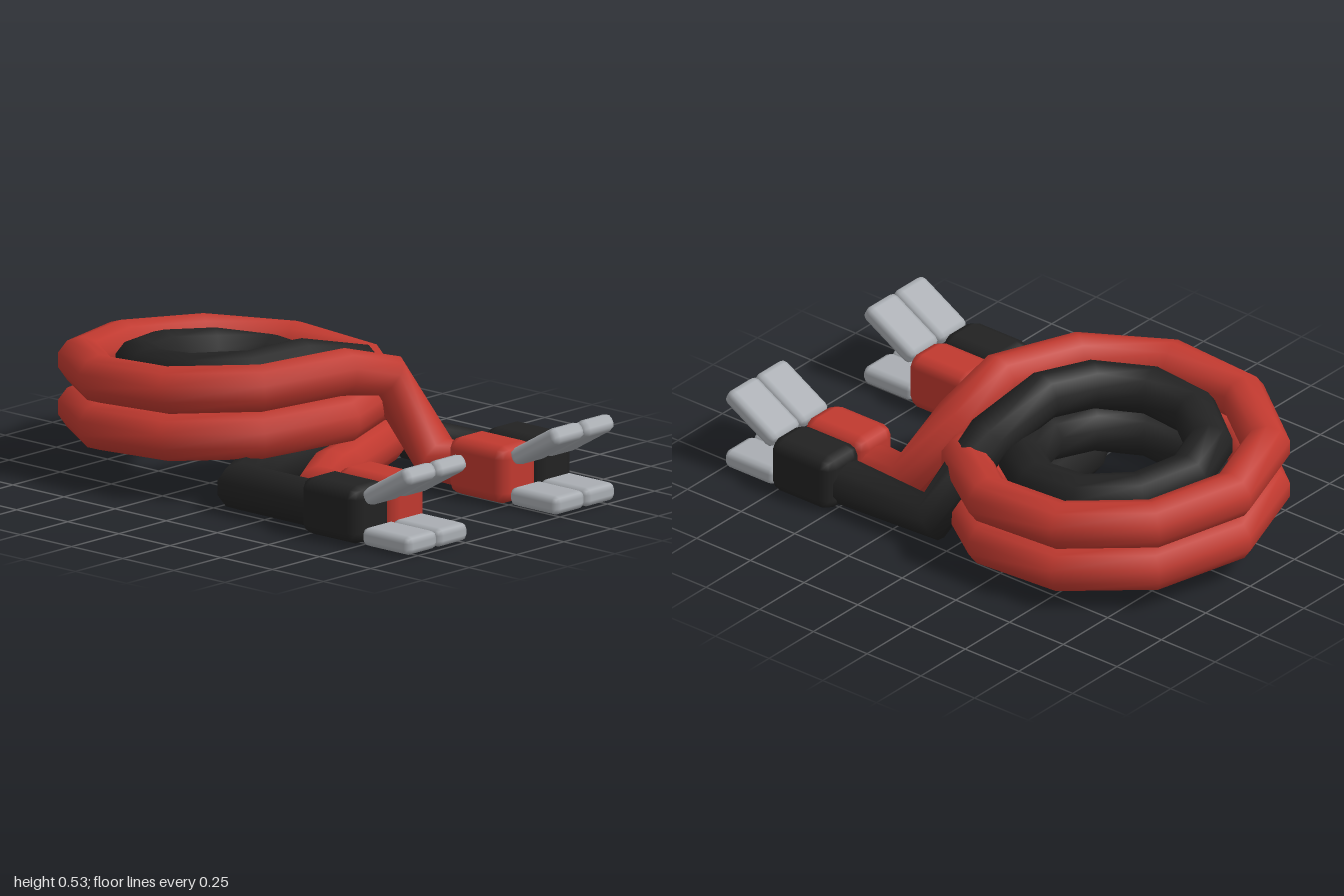
import * as THREE from 'three';
import { RoundedBoxGeometry } from 'three/addons/geometries/RoundedBoxGeometry.js';

const red = new THREE.MeshStandardMaterial({ color: 0xc0392f });
red.name = 'red rubber';
const black = new THREE.MeshStandardMaterial({ color: 0x222222 });
black.name = 'black rubber';
const steel = new THREE.MeshStandardMaterial({ color: 0xa9adb2 });
steel.name = 'steel';

const V = (x, y, z) => new THREE.Vector3(x, y, z);

// Ten-sided cable swept along straight segments
function cableGeometry(points, radius = 0.088, sides = 10) {
  const positions = [], index = [];
  const last = points.length - 1;
  points.forEach((p, i) => {
    const before = i > 0 ? p.clone().sub(points[i - 1]).normalize() : V(0, 0, 0);
    const after = i < last ? points[i + 1].clone().sub(p).normalize() : V(0, 0, 0);
    const tangent = before.add(after).normalize();
    const side = tangent.clone().cross(V(0, 1, 0)).normalize();
    const up = side.clone().cross(tangent);
    for (let j = 0; j < sides; j++) {
      const a = (j / sides) * Math.PI * 2;
      const q = p.clone().addScaledVector(side, radius * Math.sin(a)).addScaledVector(up, radius * Math.cos(a));
      positions.push(q.x, q.y, q.z);
      if (i < last) {
        const A = i * sides + j, B = i * sides + (j + 1) % sides;
        index.push(A, B, A + sides, B, B + sides, A + sides);
      }
    }
  });
  const g = new THREE.BufferGeometry();
  g.setAttribute('position', new THREE.Float32BufferAttribute(positions, 3));
  g.setIndex(index);
  g.computeVertexNormals();
  return g;
}

// Two rising turns of ten segments each
function coil(radius) {
  const pts = [];
  for (let i = 0; i <= 20; i++) {
    const a = (i / 10) * Math.PI * 2;
    pts.push(V(-0.375 + radius * Math.cos(a), 0.088 + 0.0175 * i, -radius * Math.sin(a)));
  }
  return pts;
}

function roundedBox(name, material, size, radius, position) {
  const m = new THREE.Mesh(new RoundedBoxGeometry(...size, 1, radius), material);
  m.name = name;
  m.position.set(...position);
  return m;
}

// Handle block with a flat lower jaw and a raised upper jaw
function clamp(name, material, z, side) {
  const g = new THREE.Group();
  g.name = name;
  const jawZ = side * z;
  const blockZ = side * (z > 0.39 ? 0.482 : 0.295);
  g.add(roundedBox('clampHandle', material, [0.285, 0.215, 0.19], 0.045, [0.627, 0.11, blockZ]));
  g.add(roundedBox('lowerJaw', steel, [0.235, 0.07, 0.16], 0.025, [0.8825, 0.038, jawZ]));
  const upper = roundedBox('upperJaw', steel, [0.255, 0.065, 0.16], 0.025, [0.882, 0.24, jawZ]);
  upper.rotation.z = Math.PI / 6;
  g.add(upper);
  return g;
}

export function createModel() {
  const model = new THREE.Group();
  model.name = 'jumperCables';

  const redCable = new THREE.Mesh(cableGeometry([
    V(0.56, 0.09, 0.31), V(0.33, 0.09, 0.31), V(0.2, 0.088, 0.1),
    ...coil(0.543),
    V(0.16, 0.375, -0.24), V(0.34, 0.09, -0.31), V(0.56, 0.09, -0.31),
  ]), red);
  redCable.name = 'redCable';

  const blackCable = new THREE.Mesh(cableGeometry([
    V(0.56, 0.09, 0.463), V(0.095, 0.09, 0.463), V(-0.02, 0.088, 0.24),
    ...coil(0.336),
    V(-0.01, 0.375, -0.27), V(0.095, 0.09, -0.463), V(0.56, 0.09, -0.463),
  ]), black);
  blackCable.name = 'blackCable';
  model.add(redCable, blackCable);

  // A pair of clamps at each end
  for (const side of [1, -1]) {
    const end = side > 0 ? 'front' : 'back';
    model.add(clamp(end + 'RedClamp', red, 0.31, side));
    model.add(clamp(end + 'BlackClamp', black, 0.47, side));
  }
  return model;
}
